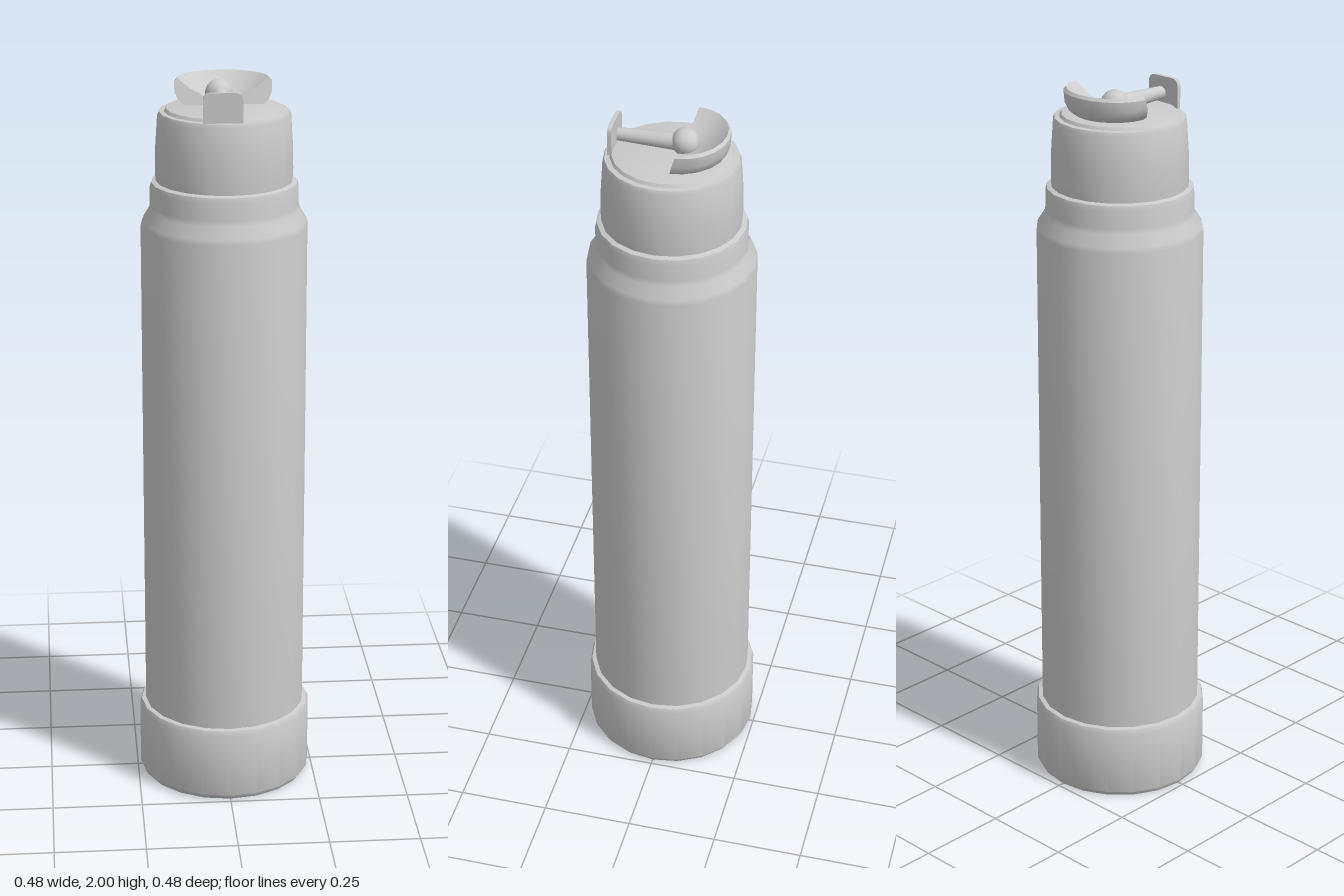
import * as THREE from 'three';
import { toCreasedNormals } from 'three/addons/utils/BufferGeometryUtils.js';

const SIDES = 20;
const AXIS_X = -0.012; // the straw and its tab sit slightly off centre

export function createModel() {
  const group = new THREE.Group();
  const material = new THREE.MeshStandardMaterial({ color: 0xcccccc, side: THREE.DoubleSide });
  const toPoints = (pairs) => pairs.map(([x, y]) => new THREE.Vector2(x, y));

  const add = (name, geometry, x = 0, y = 0, z = 0) => {
    const mesh = new THREE.Mesh(geometry, material);
    mesh.name = name;
    mesh.position.set(x, y, z);
    group.add(mesh);
    return mesh;
  };
  const turned = (name, profile) =>
    add(name, toCreasedNormals(new THREE.LatheGeometry(toPoints(profile), SIDES), 0.6));

  // Protective boot around the base
  turned('boot', [[0, 0], [0.233, 0], [0.242, 0.014], [0.242, 0.2], [0.237, 0.212], [0.222, 0.215]]);

  // Bottle body with shoulder and neck
  turned('body', [
    [0.225, 0.2], [0.225, 1.61], [0.222, 1.625], [0.203, 1.655],
    [0.2, 1.67], [0.2, 1.715], [0.196, 1.73], [0.18, 1.735],
  ]);

  // Screw cap with a slightly raised disc on top
  turned('cap', [
    [0.183, 1.725], [0.185, 1.76], [0.184, 1.82], [0.178, 1.91], [0.174, 1.92],
    [0.16, 1.921], [0.155, 1.929], [0.145, 1.931], [0, 1.931],
  ]);

  // Half-dish behind the straw: half lathe, closed by a front face that leans back
  const dishProfile = [[0, 0.004], [0.05, 0.022], [0.09, 0.044], [0.122, 0.07], [0.13, 0.062],
    [0.13, 0.035], [0.12, 0.012], [0.1, -0.002]];
  const lean = (geometry) => {
    const p = geometry.attributes.position;
    for (let i = 0; i < p.count; i++) {
      const weight = 1 - Math.min(1, Math.abs(p.getZ(i)) / 0.13);
      p.setZ(i, p.getZ(i) - p.getY(i) * 0.3 * weight);
    }
    return toCreasedNormals(geometry, 0.6);
  };
  const dish = new THREE.LatheGeometry(toPoints(dishProfile), SIDES / 2, Math.PI / 2, Math.PI);
  const mirrored = dishProfile.slice(1).reverse().map(([x, y]) => [-x, y]);
  const frontFace = new THREE.ShapeGeometry(new THREE.Shape(toPoints([...dishProfile, ...mirrored])));
  add('dish', lean(dish), 0, 1.93, -0.02);
  add('dishFront', lean(frontFace), 0, 1.93, -0.02);

  // Ball joint and tapered straw
  add('ballJoint', new THREE.SphereGeometry(0.037, 16, 12), AXIS_X, 1.96, -0.032);
  const straw = add('straw', new THREE.CylinderGeometry(0.017, 0.024, 0.17, 16), AXIS_X, 1.957, 0.06);
  straw.rotation.x = Math.PI / 2;

  // Finger tab at the straw's end, rounded at its upper corners
  const w = 0.052, h = 0.082, r = 0.022;
  const tab = new THREE.Shape();
  tab.moveTo(-w, 0);
  tab.lineTo(w, 0);
  tab.lineTo(w, h - r);
  tab.quadraticCurveTo(w, h, w - r, h);
  tab.lineTo(-w + r, h);
  tab.quadraticCurveTo(-w, h, -w, h - r);
  tab.closePath();
  add('tab', new THREE.ExtrudeGeometry(tab, { depth: 0.011, bevelEnabled: false, curveSegments: 5 }),
    AXIS_X - 0.003, 1.918, 0.15);

  return group;
}
